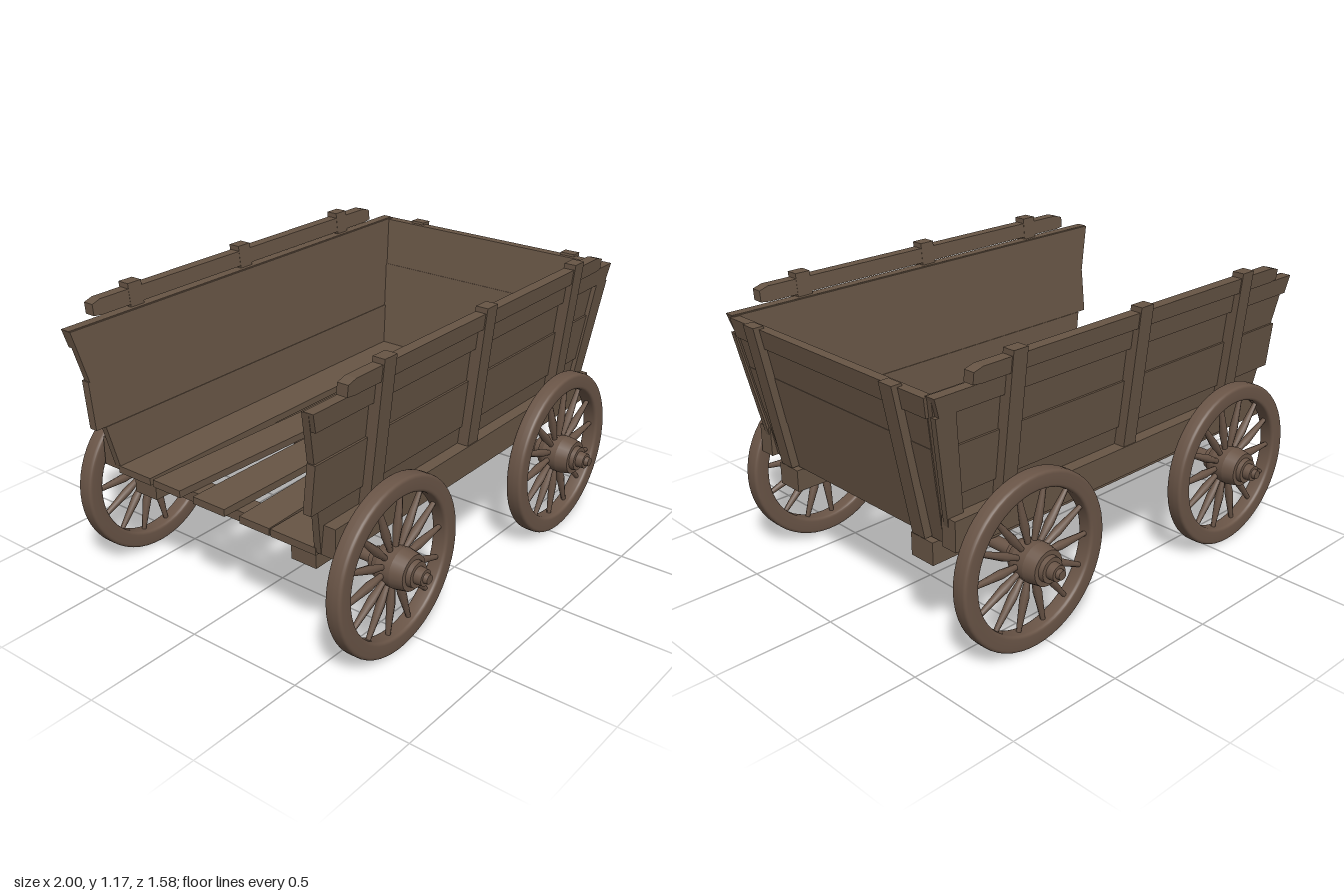
import * as THREE from 'three';

const wood = new THREE.MeshStandardMaterial({ color: 0x675545 });
wood.name = 'weathered wood';
const wheelWood = new THREE.MeshStandardMaterial({ color: 0x6a5547 });
wheelWood.name = 'wheel wood';

// Lean of the cart body: side centre plane z(y) and end centre plane x(y)
const sideZ = (y) => 0.505 + 0.11 * (y - 0.48);
const endX = (y) => 0.83 + 0.2 * (y - 0.48);

function add(parent, name, geometry, material = wood) {
  const mesh = new THREE.Mesh(geometry, material);
  mesh.name = name;
  parent.add(mesh);
  return mesh;
}

function box(parent, name, x0, x1, y0, y1, z0, z1) {
  const mesh = add(parent, name, new THREE.BoxGeometry(x1 - x0, y1 - y0, z1 - z0));
  mesh.position.set((x0 + x1) / 2, (y0 + y1) / 2, (z0 + z1) / 2);
}

// Flat plate of a given outline, centred on its own plane
function plate(points, thickness) {
  const shape = new THREE.Shape(points.map((p) => new THREE.Vector2(p[0], p[1])));
  const g = new THREE.ExtrudeGeometry(shape, { depth: thickness, bevelEnabled: false });
  return g.translate(0, 0, -thickness / 2);
}

// Shear a plate so it follows the leaning body
function lean(geometry, axis, rule) {
  const p = geometry.attributes.position;
  for (let i = 0; i < p.count; i++) {
    if (axis === 'z') p.setZ(i, p.getZ(i) + rule(p.getY(i)));
    else p.setX(i, p.getX(i) + rule(p.getY(i)));
  }
  geometry.computeVertexNormals();
  return geometry;
}

function sidePlate(parent, name, s, points, thickness, offset) {
  add(parent, name, lean(plate(points, thickness), 'z', (y) => s * (sideZ(y) + offset)));
}

function endPlate(parent, name, points, thickness, offset) {
  const g = plate(points, thickness).rotateY(Math.PI / 2);
  add(parent, name, lean(g, 'x', (y) => endX(y) + offset));
}

function buildSide(s) {
  const side = new THREE.Group();
  side.name = s > 0 ? 'frontSide' : 'backSide';
  // planks: bottom y, top y, open-end x at bottom and top, thickness, offset
  const planks = [
    [0.485, 0.68, -0.87, -0.91, 0.03, 0],
    [0.68, 0.875, -0.955, -0.955, 0.036, 0.006],
    [0.875, 1.083, -0.95, -1.0, 0.03, 0],
  ];
  for (const [y0, y1, a, b, t, o] of planks) {
    sidePlate(side, 'sidePlank', s, [[a, y0], [endX(y0) + 0.012, y0], [endX(y1) + 0.012, y1], [b, y1]], t, o);
  }
  sidePlate(side, 'topMoulding', s, [[-0.98, 1.01], [0.94, 1.01], [0.965, 1.085], [-1.0, 1.085]], 0.042, 0.014);
  // stakes and the rail they carry
  for (const x of [-0.645, -0.03, 0.615]) {
    sidePlate(side, 'stake', s, [[x - 0.034, 0.6], [x + 0.034, 0.6], [x + 0.034, 1.178], [x - 0.034, 1.178]], 0.052, 0.036);
  }
  sidePlate(side, 'topRail', s, [[-0.86, 1.1], [-0.82, 1.095], [0.78, 1.095], [0.82, 1.1], [0.82, 1.145], [0.78, 1.157], [-0.82, 1.157], [-0.86, 1.145]], 0.046, 0.034);
  // slanted corner batten
  sidePlate(side, 'cornerBatten', s, [[0.79, 0.52], [0.86, 0.52], [0.955, 1.01], [0.865, 1.01]], 0.024, 0.022);
  box(side, 'sill', -0.87, 0.87, 0.485, 0.605, s * 0.55 - 0.035, s * 0.55 + 0.035);
  return side;
}

function buildEnd() {
  const end = new THREE.Group();
  end.name = 'endPanel';
  for (const [y0, y1, t] of [[0.48, 0.68, 0.03], [0.68, 0.875, 0.034], [0.875, 1.08, 0.03]]) {
    const a = sideZ(y0) - 0.012, b = sideZ(y1) - 0.012;
    endPlate(end, 'endPlank', [[-a, y0], [a, y0], [b, y1], [-b, y1]], t, 0);
  }
  endPlate(end, 'endMoulding', [[-0.555, 1.0], [0.555, 1.0], [0.565, 1.08], [-0.565, 1.08]], 0.03, 0.01);
  for (const z of [-0.4, 0.4]) {
    endPlate(end, 'endPost', [[z - 0.034, 0.485], [z + 0.034, 0.485], [z + 0.034, 1.09], [z - 0.034, 1.09]], 0.045, 0.026);
  }
  return end;
}

function buildFloor() {
  const floor = new THREE.Group();
  floor.name = 'floor';
  // boards: z range at the open end, then at the closed end
  const boards = [
    [-0.5, -0.325, -0.5, -0.325],
    [-0.31, -0.165, -0.235, -0.09],
    [-0.095, 0.065, -0.085, 0.08],
    [0.14, 0.285, 0.08, 0.225],
    [0.29, 0.5, 0.29, 0.5],
  ];
  for (const [a, b, c, d] of boards) {
    const g = plate([[-0.875, -a], [-0.875, -b], [0.825, -d], [0.825, -c]], 0.03).rotateX(-Math.PI / 2);
    add(floor, 'floorBoard', g).position.y = 0.49;
  }
  for (const z of [-0.405, 0.405]) box(floor, 'longBeam', -0.83, 0.87, 0.385, 0.476, z - 0.058, z + 0.058);
  for (const x of [-0.76, 0.675]) box(floor, 'crossBeam', x - 0.048, x + 0.048, 0.43, 0.474, -0.36, 0.36);
  return floor;
}

const lathe = (points, segments) =>
  new THREE.LatheGeometry(points.map((p) => new THREE.Vector2(p[0], p[1])), segments);

// Wheel lying about the y axis, outer face towards +y; phase turns the spokes
function buildWheel(phase) {
  const wheel = new THREE.Group();
  wheel.name = 'wheel';
  // rounded square rim section
  const section = [];
  for (let i = 0; i <= 24; i++) {
    const a = (i / 24) * Math.PI * 2;
    const round = (v) => Math.sign(v) * Math.pow(Math.abs(v), 0.4) * 0.035;
    section.push([0.317 + round(Math.cos(a)), round(Math.sin(a))]);
  }
  add(wheel, 'rim', lathe(section, 56), wheelWood);
  // stepped hub: lower radius, upper radius, start, end
  for (const [r0, r1, y0, y1] of [
    [0.045, 0.048, -0.085, -0.055], [0.065, 0.075, -0.055, -0.03], [0.075, 0.08, -0.03, 0.035],
    [0.08, 0.07, 0.035, 0.088], [0.052, 0.05, 0.088, 0.108], [0.034, 0.032, 0.108, 0.14], [0.02, 0.018, 0.14, 0.157],
  ]) {
    add(wheel, 'hub', new THREE.CylinderGeometry(r1, r0, y1 - y0, 24), wheelWood).position.y = (y0 + y1) / 2;
  }
  // swelling spokes
  const spoke = lathe([[0.009, 0.05], [0.013, 0.1], [0.018, 0.15], [0.014, 0.21], [0.009, 0.295]], 8);
  const count = 14;
  for (let i = 0; i < count; i++) {
    const mesh = add(wheel, 'spoke', spoke, wheelWood);
    mesh.rotation.set(0, ((i + phase) / count) * Math.PI * 2, Math.PI / 2, 'YXZ');
  }
  return wheel;
}

export function createModel() {
  const cart = new THREE.Group();
  cart.name = 'woodenCart';
  cart.add(buildSide(1), buildSide(-1), buildEnd(), buildFloor());
  for (const x of [-0.6, 0.555]) {
    const axle = add(cart, 'axle', new THREE.CylinderGeometry(0.026, 0.026, 1.2, 16), wheelWood);
    axle.rotation.x = Math.PI / 2;
    axle.position.set(x, 0.355, 0);
    for (const s of [1, -1]) {
      const wheel = buildWheel(s > 0 ? 0.25 : 0);
      wheel.rotation.x = (s * Math.PI) / 2;
      wheel.position.set(x, 0.355, s * 0.633);
      cart.add(wheel);
    }
  }
  return cart;
}
